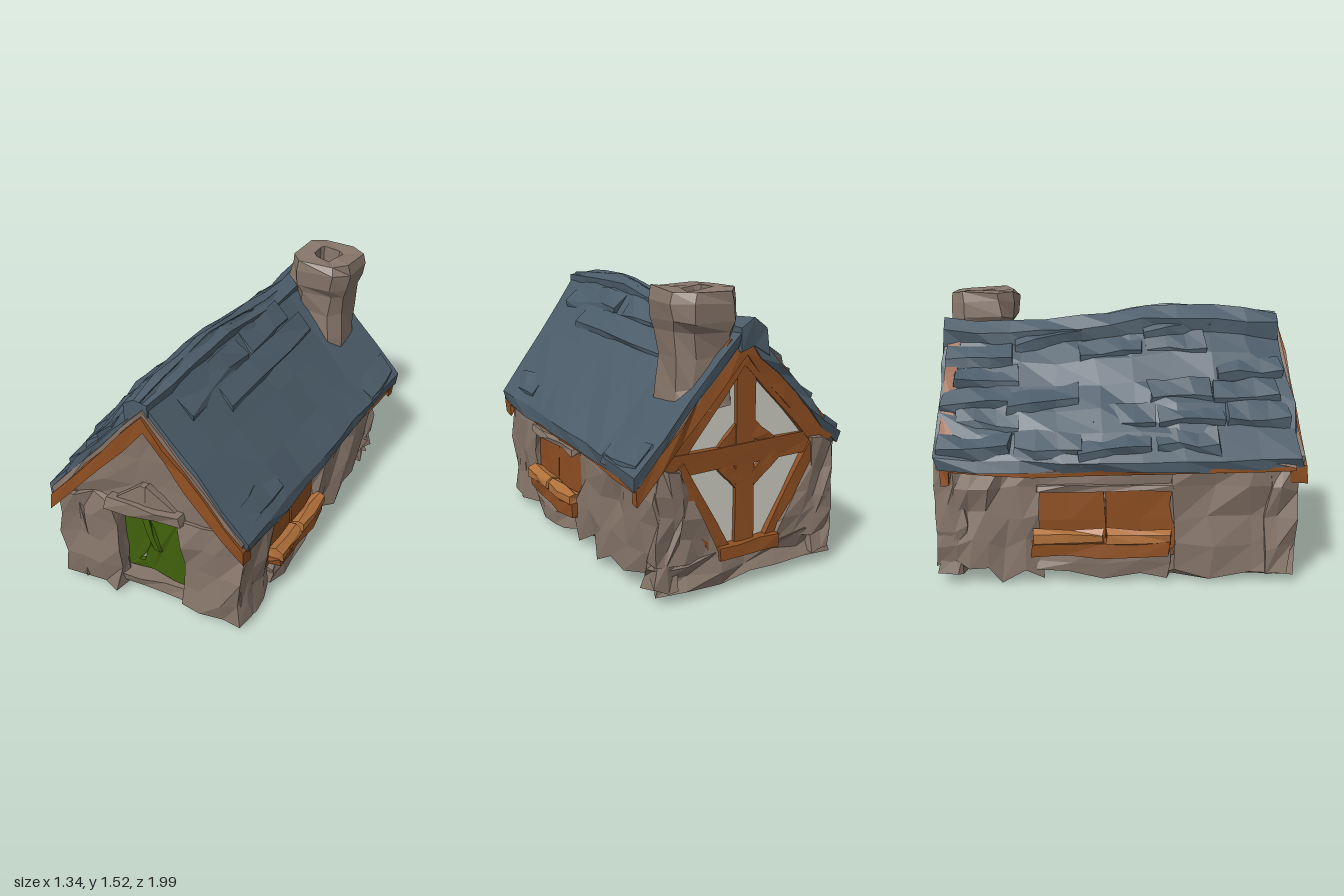
import * as THREE from 'three';

const paint = (name, hex) => {
  const m = new THREE.MeshStandardMaterial({ color: hex, side: THREE.DoubleSide });
  m.name = name;
  return m;
};
const stone = paint('stone', 0x87766a);
const slate = paint('slate', 0x4b5c69);
const wood = paint('wood', 0x8f4f22);
const paleWood = paint('pale wood', 0xb0703a);
const green = paint('green', 0x40600b);
const plaster = paint('plaster', 0xcfcec4);

const lerp = THREE.MathUtils.lerp;

// Repeatable noise from a position, -1 to 1, so touching corners stay together
function noise(p, k) {
  const q = [p.x, p.y, p.z].map((v) => Math.floor(v * 400 + 0.37));
  const s = Math.sin(q[0] * 1.27 + q[1] * 3.11 + q[2] * 7.47 + k * 5.3) * 4375.85;
  return (s - Math.floor(s)) * 2 - 1;
}

// Evenly spaced samples read as a curve; a single sample is constant
function sample(list, t) {
  const last = list.length - 1;
  const f = THREE.MathUtils.clamp(t, 0, 1) * last;
  const i = Math.floor(f);
  return lerp(list[i], list[Math.min(i + 1, last)], f - i);
}

// Roughen and facet a geometry
function facet(geo, rough) {
  const p = geo.attributes.position;
  const v = new THREE.Vector3();
  for (let i = 0; i < p.count; i++) {
    v.fromBufferAttribute(p, i);
    const d = [1, 2, 3].map((k) => noise(v, k) * rough);
    p.setXYZ(i, v.x + d[0], Math.max(0, v.y + d[1]), v.z + d[2]);
  }
  const flat = geo.index ? geo.toNonIndexed() : geo;
  flat.computeVertexNormals();
  return flat;
}

// Roof: side is -1 or 1, s runs ridge to eave, t front to back, h is height above the slates
const RIDGE = [1.40, 1.44, 1.44, 1.40, 1.36, 1.34, 1.36];
const EAVE = { '1': [0.58, 0.6, 0.62, 0.63, 0.67], '-1': [0.55, 0.615, 0.655, 0.66, 0.57] };
function roofPoint(side, s, t, h) {
  const x = lerp(0.04, side * sample(EAVE[side], t), s);
  const y = lerp(sample(RIDGE, t), side > 0 ? 0.7 : 0.72, s) + h;
  return [x, y, lerp(0.9 - 0.12 * x, -0.965 - 0.025 * x, t)];
}

export function createModel() {
  const house = new THREE.Group();
  house.name = 'cottage';

  const add = (name, geo, mat) => {
    const m = new THREE.Mesh(geo, mat);
    m.name = name;
    house.add(m);
  };

  // Box whose unit coordinates are mapped by a rule
  const block = (name, mat, seg, rough, rule) => {
    const g = new THREE.BoxGeometry(1, 1, 1, ...seg);
    const p = g.attributes.position;
    for (let i = 0; i < p.count; i++) {
      p.setXYZ(i, ...rule(p.getX(i) + 0.5, p.getY(i) + 0.5, p.getZ(i) + 0.5));
    }
    add(name, facet(g, rough), mat);
  };

  // Slab over a quad in x,y (lower left, lower right, upper right, upper left)
  const slab = (name, mat, q, z0, z1, seg, rough, skew = 0) =>
    block(name, mat, seg, rough, (u, v, w) => {
      const x = lerp(lerp(q[0][0], q[1][0], u), lerp(q[3][0], q[2][0], u), v);
      const y = lerp(lerp(q[0][1], q[1][1], u), lerp(q[3][1], q[2][1], u), v);
      return [x, y, lerp(z0, z1, w) - skew * x];
    });
  const rect = (x0, x1, y0, y1) => [[x0, y0], [x1, y0], [x1, y1], [x0, y1]];

  // Slab running along a side wall, front z to back z, with a list of heights for its foot
  const sideSlab = (name, mat, zf, zb, foot, y1, [x0, x1], seg, rough) =>
    block(name, mat, seg, rough, (u, v, w) => [lerp(x0, x1, w), lerp(sample(foot, u), y1, v), lerp(zf, zb, u)]);

  // Straight timber between two points in x,y
  const beam = (name, a, b, width, z0, z1) => {
    const l = Math.hypot(b[0] - a[0], b[1] - a[1]);
    const nx = (-(b[1] - a[1]) / l) * width / 2, ny = ((b[0] - a[0]) / l) * width / 2;
    slab(name, wood, [[a[0] - nx, a[1] - ny], [b[0] - nx, b[1] - ny], [b[0] + nx, b[1] + ny], [a[0] + nx, a[1] + ny]],
      z0, z1, [3, 1, 1], 0.006);
  };

  // Front wall: piers, threshold, gable and pointed lintel
  slab('frontPierRight', stone, rect(-0.53, -0.2, 0.04, 0.69), 0.73, 0.88, [3, 4, 2], 0.026, 0.12);
  slab('frontPierLeft', stone, rect(0.19, 0.53, 0.05, 0.69), 0.73, 0.88, [3, 4, 2], 0.026, 0.12);
  slab('threshold', stone, rect(-0.22, 0.2, 0.06, 0.13), 0.72, 0.84, [3, 1, 1], 0.012, 0.12);
  slab('frontGable', stone, [[-0.57, 0.67], [0.57, 0.67], [0.06, 1.34], [0.02, 1.34]], 0.74, 0.85, [5, 4, 1], 0.018, 0.12);
  slab('doorLintel', stone, [[-0.22, 0.67], [0.22, 0.67], [0.2, 0.74], [-0.2, 0.74]], 0.82, 0.91, [3, 1, 1], 0.014, 0.12);
  slab('doorLintelPeak', stone, [[-0.17, 0.73], [0.17, 0.73], [0.02, 0.86], [-0.02, 0.86]], 0.82, 0.88, [2, 1, 1], 0.01, 0.12);

  // Door with split boards
  const leaf = new THREE.Shape([[-0.22, 0.13], [-0.05, 0.16], [0.08, 0.15], [0.19, 0.1], [0.19, 0.69], [-0.22, 0.68]]
    .map((p) => new THREE.Vector2(...p)));
  for (const gap of [[[-0.12, 0.59], [-0.1, 0.62], [-0.1, 0.55]], [[-0.04, 0.46], [-0.01, 0.34], [-0.05, 0.34]],
    [[-0.14, 0.2], [-0.09, 0.27], [-0.1, 0.21]]]) {
    leaf.holes.push(new THREE.Path(gap.map((p) => new THREE.Vector2(...p))));
  }
  const door = new THREE.ExtrudeGeometry(leaf, { depth: 0.025, bevelEnabled: false });
  door.translate(0, 0, 0.755);
  add('door', facet(door, 0.008), green);
  slab('doorBoard', green, [[-0.02, 0.34], [0.02, 0.34], [-0.07, 0.64], [-0.11, 0.64]], 0.77, 0.8, [1, 3, 1], 0.008);

  // Side walls, each with a window
  for (const side of [1, -1]) {
    const n = side > 0 ? 'left' : 'right';
    const [zf, zb] = side > 0 ? [0.46, -0.08] : [0.28, -0.43];
    const out = (a, b) => (side > 0 ? [a, b] : [-b, -a]);
    const mid = (zf + zb) / 2;
    const wall = out(0.4, 0.53);
    sideSlab(n + 'WallFront', stone, side > 0 ? 0.79 : 0.91, zf, [0.05], 0.7, wall, [3, 4, 2], 0.026);
    sideSlab(n + 'WallBack', stone, zb, -0.965, [0.05, 0.11, 0.02, 0.1, 0.09, 0.11, 0.08], 0.7, wall, [6, 4, 2], 0.028);
    sideSlab(n + 'WallBelow', stone, zf, zb, [0.04, 0.03, 0.1], 0.2, wall, [4, 2, 1], 0.02);
    sideSlab(n + 'WallAbove', stone, zf, zb, [0.54], 0.7, wall, [4, 2, 1], 0.014);
    sideSlab(n + 'WindowLintel', stone, zf + 0.01, zb - 0.01, [0.53], 0.565, out(0.5, 0.555), [4, 1, 1], 0.01);
    // Shutters meet at a fine seam
    for (const [a, b] of [[zf + 0.02, mid + 0.004], [mid - 0.004, zb - 0.02]]) {
      sideSlab(n + 'Shutter', wood, a, b, [0.16], 0.55, out(0.44, 0.505), [2, 2, 1], 0.008);
    }
    // Sill with two worn logs on top
    sideSlab(n + 'Sill', wood, zf - 0.01, zb - 0.03, [0.19, 0.17, 0.17], 0.25, out(0.48, 0.58), [4, 1, 1], 0.012);
    for (const [a, b] of [[zf - 0.01, mid + 0.01], [mid - 0.01, zb - 0.03]]) {
      const log = new THREE.CylinderGeometry(0.046, 0.046, a - b, 6, 2).rotateX(Math.PI / 2);
      log.translate(side * 0.55, 0.275, (a + b) / 2);
      add(n + 'SillLog', facet(log, 0.009), paleWood);
    }
  }

  // Back wall: stone around a plastered timber frame
  slab('backFooting', stone, rect(-0.53, 0.53, 0.06, 0.21), -0.96, -0.82, [6, 2, 2], 0.026);
  slab('backStoneRight', stone, [[-0.53, 0.2], [-0.16, 0.2], [-0.43, 0.68], [-0.53, 0.7]], -0.96, -0.82, [3, 4, 2], 0.022);
  slab('backStoneLeft', stone, [[0.16, 0.2], [0.53, 0.2], [0.53, 0.7], [0.43, 0.68]], -0.96, -0.82, [3, 4, 2], 0.022);
  const panel = new THREE.Shape([[0.04, 1.33], [-0.55, 0.67], [-0.46, 0.66], [-0.16, 0.18], [0.16, 0.18], [0.46, 0.66], [0.57, 0.67]]
    .map((p) => new THREE.Vector2(...p)));
  const panelGeo = new THREE.ExtrudeGeometry(panel, { depth: 0.02, bevelEnabled: false });
  panelGeo.translate(0, 0, -0.92);
  add('backPlaster', panelGeo, plaster);
  beam('backPost', [0.01, 0.2], [0.03, 1.3], 0.11, -0.945, -0.88);
  beam('backCrossBeam', [-0.52, 0.7], [0.54, 0.7], 0.11, -0.945, -0.88);
  beam('backSill', [-0.18, 0.21], [0.18, 0.21], 0.07, -0.98, -0.88);
  for (const s of [-1, 1]) {
    beam('backFrame', [s * 0.15, 0.2], [s * 0.43, 0.68], 0.11, -0.95, -0.88);
    beam('backRafter', [0.04 + s * 0.02, 1.24], [s * 0.51, 0.68], 0.15, -0.945, -0.88);
    beam('backBraceUpper', [0.02 + s * 0.03, 0.84], [s * 0.16, 0.72], 0.07, -0.94, -0.89);
    beam('backBraceLower', [0.01 + s * 0.03, 0.54], [s * 0.17, 0.68], 0.07, -0.94, -0.89);
  }

  // Roof slopes with boarded underside, verge boards and a stone bed under the end slates
  const onRoof = (name, mat, side, s0, s1, t0, t1, h0, h1, seg, rough) =>
    block(name, mat, seg, rough, (u, v, w) =>
      roofPoint(side, side > 0 ? lerp(s0, s1, u) : lerp(s1, s0, u), lerp(t0, t1, v), lerp(h0, h1, w)));
  for (const side of [1, -1]) {
    onRoof('roofSlope', slate, side, 0, 1, 0, 1, -0.065, 0, [side > 0 ? 4 : 6, 9, 1], side > 0 ? 0.009 : 0.018);
    onRoof('roofBoards', wood, side, 0, 0.985, 0.02, 0.98, -0.09, -0.06, [2, 8, 1], 0.006);
    for (const [end, a, b] of [['front', -0.015, 0.03], ['back', 0.965, 0.993]]) {
      onRoof(end + 'Verge', wood, side, 0, 0.97, a, b, -0.17, -0.075, [5, 1, 1], 0.009);
      onRoof(end + 'VergeBed', stone, side, 0, 0.95, a + 0.008, b, -0.08, -0.04, [5, 1, 1], 0.006);
    }
  }

  // Ragged slate courses: all over one slope, only near the ridge on the other
  const tile = (side, s, t, len, h, skew) =>
    block('slateTile', slate, [1, 3, 1], 0.013, (u, v, w) => {
      const k = side > 0 ? u : 1 - u;
      return roofPoint(side, s + k * 0.15 + (v - 0.5) * skew, lerp(t, t + len, v), w ? h * k + 0.004 : -0.03);
    });
  for (let r = 0; r < 6; r++) {
    for (let c = 0; c < 5; c++) {
      const j = noise({ x: r * 0.31, y: c * 0.17, z: 0.5 }, r + c);
      if (j < -0.45) continue;
      tile(-1, 0.03 + r * 0.155 + j * 0.025, 0.02 + c * 0.19 + (r % 2) * 0.02, 0.18 + j * 0.02, 0.032 + j * 0.012, j * 0.06);
    }
  }
  for (const [s, t, len] of [[0.1, 0.1, 0.32], [0.22, 0.24, 0.52], [0.06, 0.45, 0.24], [0.8, 0.03, 0.2], [0.83, 0.8, 0.18]]) {
    tile(1, s, t, len, 0.018, -0.05);
  }
  // Ridge cap
  block('ridgeCap', slate, [2, 10, 1], 0.014, (u, v, w) => {
    const [, y, z] = roofPoint(1, 0, v, 0);
    const x = lerp(-0.08, 0.08, u);
    return [x, y + (w ? 0.025 : -0.1) - Math.abs(x - 0.02) * 0.75, z];
  });

  // Hollow, squarish chimney
  const outline = [[0.18, 0.95], [0.165, 1.05], [0.155, 1.2], [0.165, 1.32], [0.195, 1.37], [0.195, 1.46], [0.18, 1.52],
    [0.075, 1.51], [0.065, 1.1]].map((p) => new THREE.Vector2(...p));
  const stack = new THREE.LatheGeometry(outline, 8, Math.PI / 8);
  const sp = stack.attributes.position;
  for (let i = 0; i < sp.count; i++) {
    const r = Math.hypot(sp.getX(i), sp.getZ(i));
    const square = (a) => Math.sign(a) * r * Math.pow(Math.abs(a) / r, 0.6);
    sp.setXYZ(i, 0.22 + square(sp.getX(i)), sp.getY(i), -0.77 + square(sp.getZ(i)));
  }
  add('chimney', facet(stack, 0.014), stone);

  return house;
}
